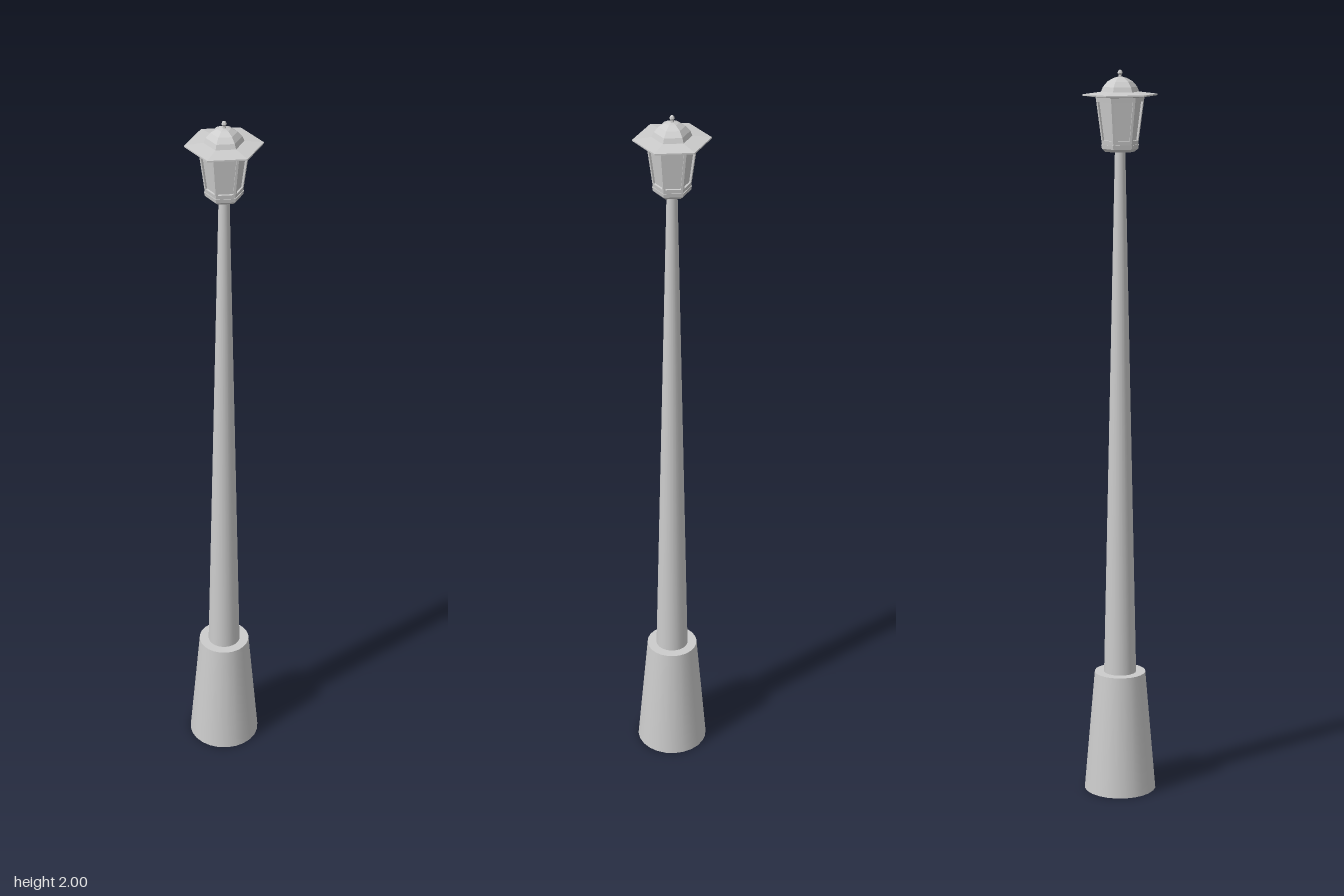
import * as THREE from 'three';

export function createModel() {
  const group = new THREE.Group();
  group.name = 'streetLamp';
  const smooth = new THREE.MeshStandardMaterial({ color: 0xcccccc });
  const flat = new THREE.MeshStandardMaterial({ color: 0xcccccc, flatShading: true });

  const add = (name, geometry, material, parent = group) => {
    const mesh = new THREE.Mesh(geometry, material);
    mesh.name = name;
    parent.add(mesh);
    return mesh;
  };
  // Tapered round or six-sided piece between two heights
  const taper = (name, rTop, rBottom, y0, y1, sides, material, parent) => {
    const mesh = add(name, new THREE.CylinderGeometry(rTop, rBottom, y1 - y0, sides), material, parent);
    mesh.position.y = (y0 + y1) / 2;
    return mesh;
  };
  // Six-sided turned piece from [radius, height] points, listed upwards
  const hexLathe = (name, points, parent) =>
    add(name, new THREE.LatheGeometry(points.map(p => new THREE.Vector2(...p)), 6), flat, parent);

  // Post
  taper('base', 0.071, 0.1, 0, 0.34, 24, smooth);
  taper('pole', 0.014, 0.045, 0.34, 1.79, 24, smooth);

  const lantern = new THREE.Group();
  lantern.name = 'lantern';
  group.add(lantern);

  // Lantern floor with a bevelled underside
  hexLathe('lanternFloor', [[0, 1.784], [0.04, 1.784], [0.049, 1.792], [0.051, 1.803], [0, 1.803]], lantern);
  // Recessed panes
  taper('panes', 0.059, 0.043, 1.8, 1.93, 6, flat, lantern);

  // Window frames, one on each tilted side
  const y0 = 1.8, y1 = 1.93, a0 = 0.042, a1 = 0.057;
  const slant = Math.hypot(y1 - y0, a1 - a0);
  const tan30 = Math.tan(Math.PI / 6);
  const halfWidth = v => (a0 + (a1 - a0) * v / slant) * tan30;
  const trapezoid = (path, v0, v1, inset) => {
    const w0 = halfWidth(v0) - inset, w1 = halfWidth(v1) - inset;
    path.moveTo(-w0, v0);
    path.lineTo(w0, v0);
    path.lineTo(w1, v1);
    path.lineTo(-w1, v1);
    path.closePath();
    return path;
  };
  const frameShape = trapezoid(new THREE.Shape(), 0, slant, 0);
  frameShape.holes.push(trapezoid(new THREE.Path(), 0.014, slant - 0.014, 0.006));
  const frame = new THREE.ExtrudeGeometry(frameShape, { depth: 0.006, bevelEnabled: false });
  frame.translate(0, 0, -0.006);
  frame.rotateX(Math.atan2(a1 - a0, y1 - y0));
  frame.translate(0, y0, a0);
  for (let i = 0; i < 6; i++) {
    add('windowFrame', frame, flat, lantern).rotation.y = Math.PI / 6 + i * Math.PI / 3;
  }

  // Wide brim, domed cap and finial
  hexLathe('brim', [[0, 1.928], [0.066, 1.928], [0.1, 1.932], [0.1, 1.936], [0.052, 1.942], [0, 1.942]], lantern);
  hexLathe('cap', [[0.052, 1.94], [0.046, 1.955], [0.034, 1.969], [0.018, 1.978], [0.007, 1.981], [0, 1.981]], lantern);
  hexLathe('finial', [[0.005, 1.98], [0.004, 1.986], [0.007, 1.991], [0.005, 1.997], [0, 2]], lantern);

  return group;
}
